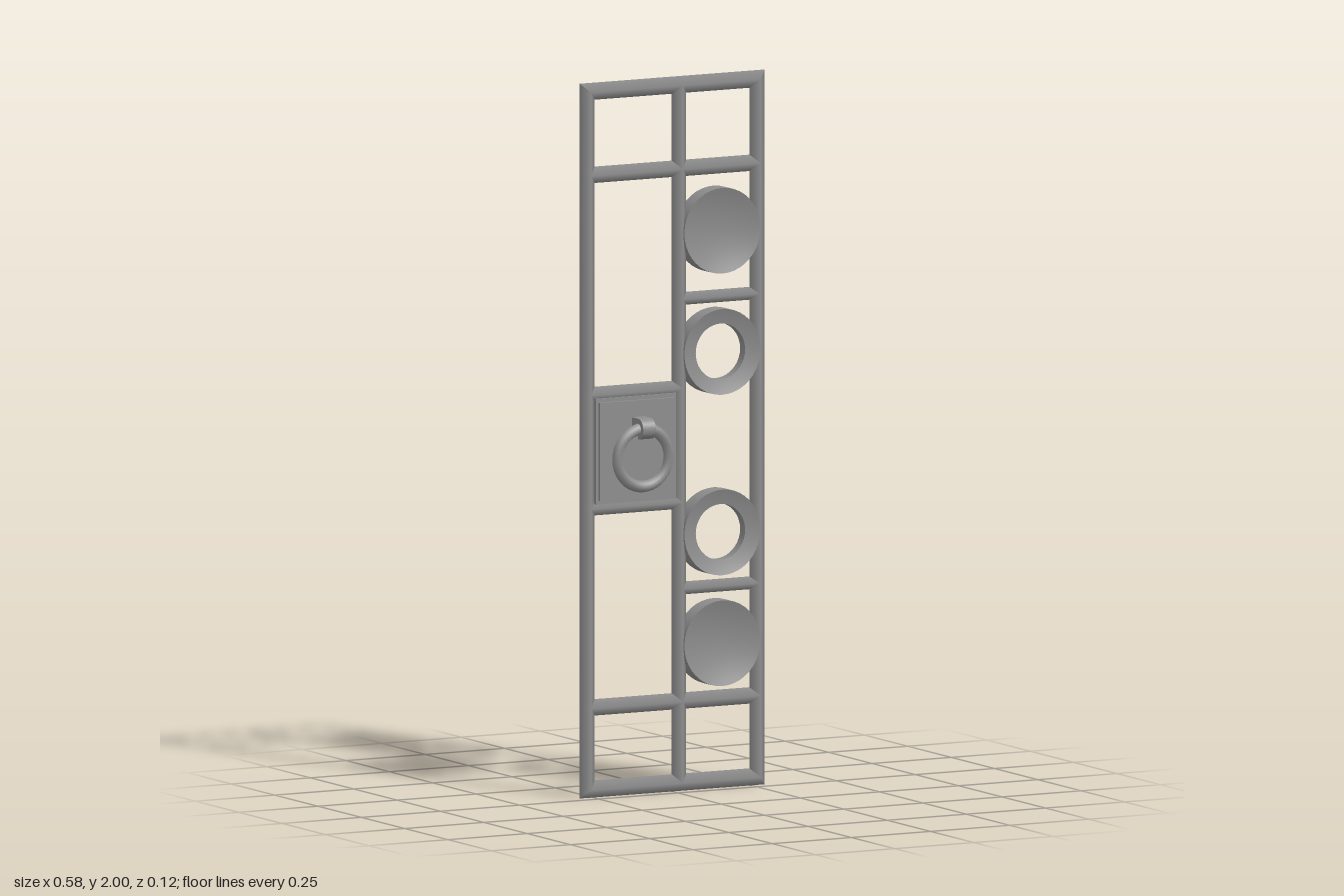
import * as THREE from 'three';

const material = new THREE.MeshStandardMaterial({ color: 0x8e8e8e });
const MID_Z = -0.034;

function add(parent, name, geometry, x = 0, y = 0, z = 0) {
  const mesh = new THREE.Mesh(geometry, material);
  mesh.name = name;
  mesh.position.set(x, y, z);
  parent.add(mesh);
  return mesh;
}

// Four-sided bar with ridges facing front and back; mitre lengthens its +x side
function barGeometry(length, width, depth, mitre = false) {
  const g = new THREE.CylinderGeometry(1, 1, length, 4, 1, mitre);
  const p = g.attributes.position;
  for (let i = 0; i < p.count; i++) {
    const x = p.getX(i) * width / 2;
    const y = p.getY(i) + (mitre ? Math.sign(p.getY(i)) * x : 0);
    p.setXYZ(i, x, y, p.getZ(i) * depth / 2);
  }
  return g;
}

function crossBar(parent, name, x0, x1, y, width = 0.046, depth = 0.048) {
  const bar = add(parent, name, barGeometry(x1 - x0, width, depth), (x0 + x1) / 2, y, MID_Z);
  bar.rotation.z = Math.PI / 2;
}

// Lathe about z, with each profile band kept as a separate crisp surface
function turned(parent, name, profile, x, y) {
  const group = new THREE.Group();
  group.name = name;
  group.position.set(x, y, MID_Z);
  group.rotation.x = Math.PI / 2;
  profile.forEach((band, i) => {
    const points = band.map(([r, h]) => new THREE.Vector2(r, h));
    add(group, `${name}Surface${i + 1}`, new THREE.LatheGeometry(points, 40));
  });
  parent.add(group);
}

// Two hollowed faces and a straight rim, from radius r out to R
function dishProfile(r) {
  const R = 0.12, T = 0.026, face = [];
  for (let i = 0; i <= 8; i++) {
    const radius = r + (R - r) * i / 8;
    face.push([radius, T - 0.02 * (1 - (radius / R) ** 2)]);
  }
  const back = face.map(([x, h]) => [x, -h]);
  const profile = [back, [[R, -T], [R, T]], face.slice().reverse()];
  if (r > 0) profile.push([face[0], back[0]]);
  return profile;
}

export function createModel() {
  const model = new THREE.Group();
  model.name = 'latticePanel';

  // Mitred outer frame
  const W = 0.268, H = 0.976;
  [[W, 1, 0, H], [-W, 1, Math.PI, H], [0, 1 + H, Math.PI / 2, W], [0, 1 - H, -Math.PI / 2, W]]
    .forEach(([x, y, angle, half], i) => {
      const name = ['frameLeft', 'frameRight', 'frameTop', 'frameBottom'][i];
      add(model, name, barGeometry(half * 2, 0.048, 0.048, true), x, y, MID_Z).rotation.z = angle;
    });

  // Lattice bars
  const cx = 0.022;
  add(model, 'centreBar', barGeometry(2 * H, 0.046, 0.048), cx, 1, MID_Z);
  for (const y of [1.742, 0.252]) crossBar(model, 'longCrossBar', -W, W, y);
  for (const y of [1.128, 0.81]) crossBar(model, 'plateCrossBar', -W, cx, y, 0.042);
  for (const y of [1.377, 0.567]) crossBar(model, 'shortCrossBar', cx, W, y, 0.036, 0.042);

  // Dished discs and open rings
  for (const y of [1.562, 0.408]) turned(model, 'dishedDisc', dishProfile(0), 0.145, y);
  for (const y of [1.223, 0.718]) turned(model, 'openRing', dishProfile(0.078), 0.145, y);

  // Handle plate with a raised central field
  const px = -0.123;
  add(model, 'handlePlate', new THREE.BoxGeometry(0.254, 0.296, 0.028), px, 0.969, -0.031);
  add(model, 'platePanel', new THREE.BoxGeometry(0.238, 0.274, 0.03), px, 0.969, -0.023);

  // Hanging pull ring
  add(model, 'pullRing', new THREE.TorusGeometry(0.081, 0.0165, 6, 40), px, 0.95, 0.024);

  // Curled hook: side profile drawn in (z, y), then extruded across x
  const s = new THREE.Shape();
  s.moveTo(-0.015, 1.06);
  s.lineTo(0.029, 1.06);
  s.absarc(0.029, 1.031, 0.029, Math.PI / 2, -Math.PI / 2, true);
  s.lineTo(0.025, 1.016);
  s.absarc(0.029, 1.031, 0.015, -Math.PI / 2, Math.PI / 2, false);
  s.lineTo(0.012, 1.046);
  s.lineTo(0.004, 1.028);
  s.lineTo(-0.015, 1.028);
  s.closePath();
  const hookGeometry = new THREE.ExtrudeGeometry(s, { depth: 0.04, bevelEnabled: false, curveSegments: 12 });
  hookGeometry.translate(0, 0, -0.02);
  hookGeometry.rotateY(-Math.PI / 2);
  add(model, 'ringHook', hookGeometry, px + 0.002, 0, 0);

  return model;
}
